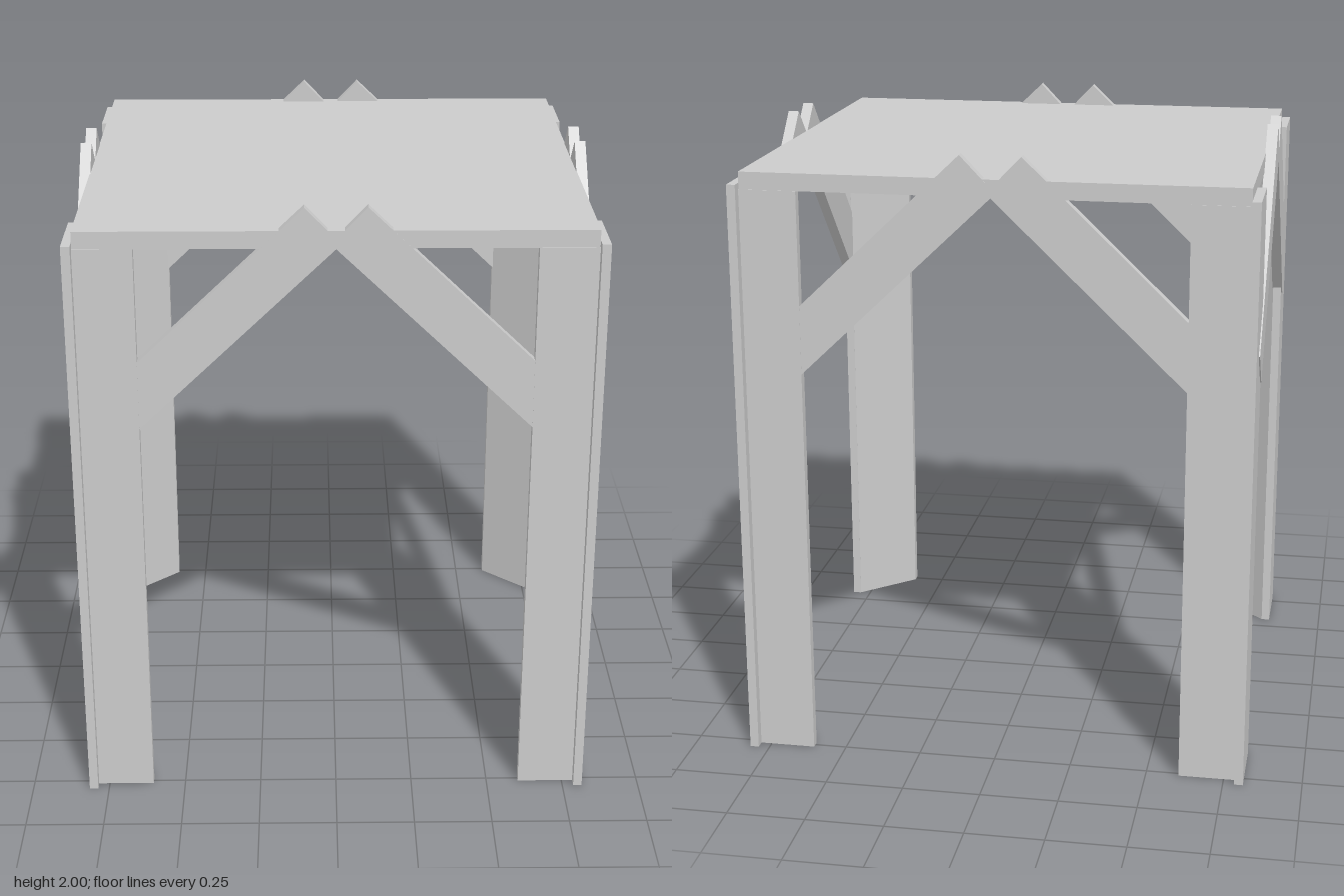
import * as THREE from 'three';

const material = new THREE.MeshStandardMaterial({ color: 0xcccccc, flatShading: true });

function board(parent, name, [w, h, d], [x, y, z], [rx, rz] = [0, 0]) {
  const mesh = new THREE.Mesh(new THREE.BoxGeometry(w, h, d), material);
  mesh.name = name;
  mesh.position.set(x, y, z);
  mesh.rotation.set(rx, 0, rz);
  parent.add(mesh);
}

// Hollow three-board corner leg; sx and sz choose the corner
function makeLeg(sx, sz) {
  const leg = new THREE.Group();
  leg.name = (sz > 0 ? 'front' : 'back') + (sx > 0 ? 'Left' : 'Right') + 'Leg';
  board(leg, 'legSideBoard', [0.028, 1.885, 0.232], [sx * 0.8, 0.9425, sz * 0.68]);
  board(leg, 'legFaceBoard', [0.181, 1.865, 0.03], [sx * 0.6955, 0.9325, sz * 0.75]);

  // Mitred diagonal board closing the inner side
  const corners = [[0.605, 0.735], [0.786, 0.565], [0.786, 0.602], [0.645, 0.735]];
  const section = new THREE.Shape(corners.map(([x, z]) => new THREE.Vector2(sx * x, -sz * z)));
  const geometry = new THREE.ExtrudeGeometry(section, { depth: 1.865, bevelEnabled: false });
  geometry.rotateX(-Math.PI / 2);
  const diagonal = new THREE.Mesh(geometry, material);
  diagonal.name = 'legDiagonalBoard';
  leg.add(diagonal);
  return leg;
}

export function createModel() {
  const table = new THREE.Group();
  table.name = 'table';

  board(table, 'tabletop', [1.57, 0.055, 1.526], [0, 1.8925, 0]);

  for (const sx of [-1, 1]) {
    for (const sz of [-1, 1]) {
      table.add(makeLeg(sx, sz));
      // Braces rising from the leg to the middle of the front or back edge
      board(table, 'endBrace', [0.87, 0.159, 0.032],
        [sx * 0.354, 1.634, sz * 0.748], [0, -sx * 0.764]);
      // Braces along the sides, lapping over the outside of the leg
      board(table, 'sideBrace', [0.035, 0.159, 0.863],
        [sx * 0.8005, 1.639, sz * 0.338], [sz * Math.PI / 4, 0]);
    }
  }
  return table;
}
